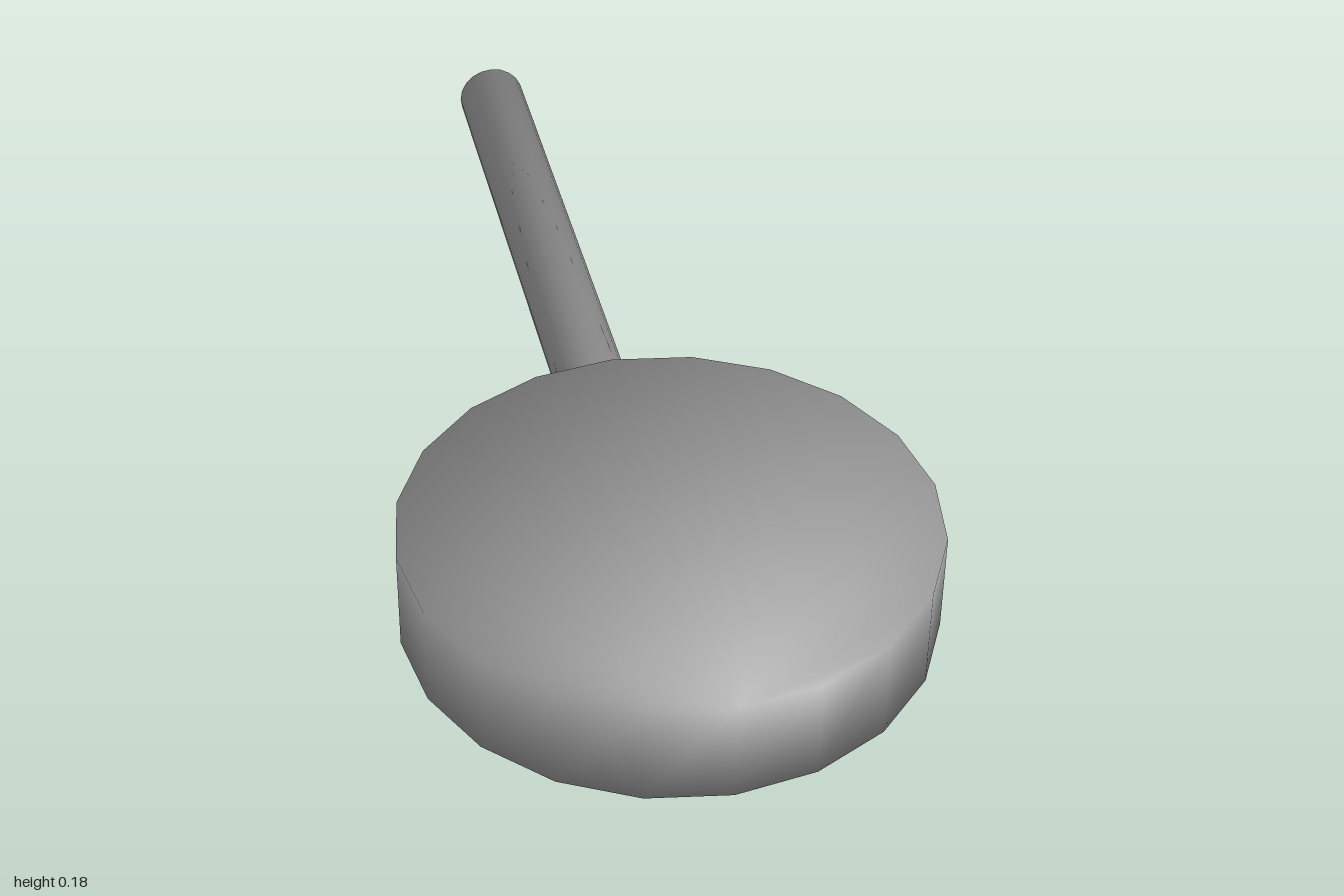
import * as THREE from 'three';

const SIDES = 20;

// Closed prism along +y from y = 0, its normals shared between wall and caps.
// Tilts say how far the normals of the bottom and top rims lean along +y.
function softPrism(radius, length, bottomTilt, topTilt) {
  const pos = [], nor = [], index = [];
  for (const [y, tilt] of [[0, bottomTilt], [length, topTilt]]) {
    for (let i = 0; i < SIDES; i++) {
      const a = (i / SIDES) * Math.PI * 2;
      const n = new THREE.Vector3(Math.sin(a), tilt, Math.cos(a));
      pos.push(n.x * radius, y, n.z * radius);
      nor.push(...n.normalize().toArray());
    }
  }
  for (let i = 0; i < SIDES; i++) {
    const j = (i + 1) % SIDES;
    index.push(i, j, SIDES + j, i, SIDES + j, SIDES + i); // wall
    if (i > 0 && i < SIDES - 1) {
      index.push(0, i + 1, i); // bottom cap
      index.push(SIDES, SIDES + i, SIDES + i + 1); // top cap
    }
  }
  const g = new THREE.BufferGeometry();
  g.setAttribute('position', new THREE.Float32BufferAttribute(pos, 3));
  g.setAttribute('normal', new THREE.Float32BufferAttribute(nor, 3));
  g.setIndex(index);
  return g;
}

export function createModel() {
  const group = new THREE.Group();
  group.name = 'paddle';
  const material = new THREE.MeshStandardMaterial({ color: 0x959595 });

  // Thick round head
  const head = new THREE.Mesh(softPrism(0.455, 0.184, -1, 1), material);
  head.name = 'head';
  head.position.z = 0.545;
  group.add(head);

  // Round handle, slightly off centre, blending out of the back of the head
  const handle = new THREE.Mesh(softPrism(0.065, 1.12, 0.4, 1), material);
  handle.name = 'handle';
  handle.rotation.x = -Math.PI / 2;
  handle.position.set(-0.021, 0.081, 0.12);
  group.add(handle);

  return group;
}
